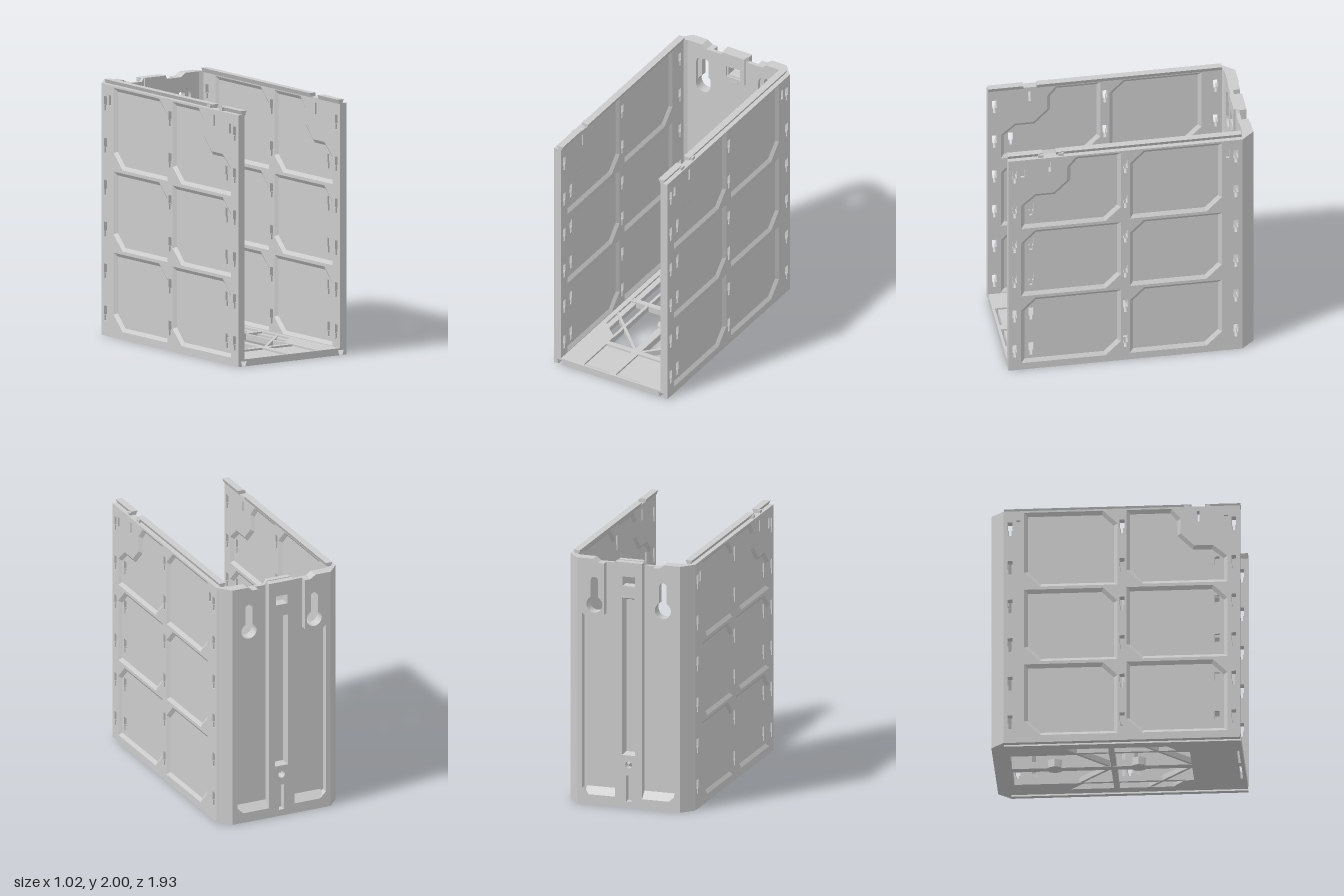
import * as THREE from 'three';

const mat = new THREE.MeshStandardMaterial({ color: 0xcccccc, flatShading: true });
const thin = new THREE.MeshStandardMaterial({ color: 0xcccccc, flatShading: true, side: THREE.DoubleSide });

const poly = pts => pts.map(p => new THREE.Vector2(p[0], p[1]));
const rect = (x0, y0, x1, y1) => [[x0, y0], [x1, y0], [x1, y1], [x0, y1]];
const circle = (x, y, r, n = 24) => Array.from({ length: n }, (_, i) =>
  [x + r * Math.cos(i / n * 2 * Math.PI), y + r * Math.sin(i / n * 2 * Math.PI)]);
const flip = pts => pts.map(([x, y]) => [-x, y]);

// Extrude an outline with holes between two levels along an axis.
// z: points are (x, y); x: points are (z, y); y: points are (x, z)
function slab(outline, holes, axis, lo, hi) {
  const shape = new THREE.Shape(poly(outline));
  holes.forEach(h => shape.holes.push(new THREE.Path(poly(h))));
  const geo = new THREE.ExtrudeGeometry(shape, { depth: hi - lo, bevelEnabled: false });
  if (axis === 'x') geo.rotateY(-Math.PI / 2).translate(hi, 0, 0);
  else if (axis === 'y') geo.rotateX(Math.PI / 2).translate(0, hi, 0);
  else geo.translate(0, 0, lo);
  return geo;
}

// Mirror a geometry in x and restore its winding
function mirrored(source) {
  const geo = source.index ? source.toNonIndexed() : source.clone();
  geo.scale(-1, 1, 1);
  const p = geo.attributes.position, a = new THREE.Vector3(), b = new THREE.Vector3();
  for (let i = 0; i < p.count; i += 3) {
    a.fromBufferAttribute(p, i + 1);
    b.fromBufferAttribute(p, i + 2);
    p.setXYZ(i + 1, b.x, b.y, b.z);
    p.setXYZ(i + 2, a.x, a.y, a.z);
  }
  geo.computeVertexNormals();
  return geo;
}

// Inset a counter-clockwise polygon by d
function inset(pts, d) {
  const n = pts.length;
  return pts.map((p, i) => {
    const q = pts[(i + n - 1) % n], r = pts[(i + 1) % n];
    const normal = (a, b) => {
      const l = Math.hypot(b[0] - a[0], b[1] - a[1]);
      return [-(b[1] - a[1]) / l, (b[0] - a[0]) / l];
    };
    const m = normal(q, p), k = normal(p, r);
    const s = d / (1 + m[0] * k[0] + m[1] * k[1]);
    return [p[0] + (m[0] + k[0]) * s, p[1] + (m[1] + k[1]) * s];
  });
}

// Sloped strip joining two (u, v) loops at levels a and b
function bevelRing(outer, inner, a, b, place) {
  const v = [];
  outer.forEach((p, i) => {
    const j = (i + 1) % outer.length;
    const A = place(p, a), B = place(outer[j], a), C = place(inner[j], b), D = place(inner[i], b);
    v.push(...A, ...B, ...C, ...A, ...C, ...D);
  });
  const geo = new THREE.BufferGeometry();
  geo.setAttribute('position', new THREE.Float32BufferAttribute(v, 3));
  geo.computeVertexNormals();
  return geo;
}

export function createModel() {
  const model = new THREE.Group();
  const add = (name, geo, material = mat) => {
    const mesh = new THREE.Mesh(geo, material);
    mesh.name = name;
    model.add(mesh);
  };
  const pair = (name, geo, material = mat) => {
    add(name + 'Left', geo, material);
    add(name + 'Right', mirrored(geo), material);
  };

  // Side walls: thin web between two frames with recessed panels
  const panels = [];
  const panel = (z0, z1, y0, y1) => panels.push([[z0 + 0.12, y0], [z1, y0], [z1, y1 - 0.11],
    [z1 - 0.11, y1], [z0, y1], [z0, y0 + 0.12]]);
  for (const [y0, y1] of [[0.06, 0.665], [0.69, 1.3], [1.325, 1.955]]) {
    panel(-0.705, 0.015, y0, y1);
    if (y0 < 1) panel(0.085, 0.865, y0, y1);
  }
  panels.push([[0.205, 1.325], [0.865, 1.325], [0.865, 1.545], [0.755, 1.64], [0.61, 1.64],
    [0.505, 1.745], [0.505, 1.87], [0.435, 1.955], [0.085, 1.955], [0.085, 1.445]]);

  const slot = (z, y) => [[z - 0.01, y - 0.115], [z + 0.01, y - 0.115], [z + 0.01, y - 0.07],
    [z + 0.019, y - 0.07], [z + 0.019, y], [z - 0.019, y], [z - 0.019, y - 0.07], [z - 0.01, y - 0.07]];
  const frameSlots = [rect(0.63, 1.84, 0.65, 1.93)], webSlots = [];
  for (let i = 0; i < 6; i++) {
    const y = 0.235 + i * 0.328;
    for (const z of [0.915, 0.05, -0.815]) frameSlots.push(slot(z, y));
    if (i < 5) webSlots.push(slot(0.785, y));
  }
  const blind = [rect(0.84, 1.81, 0.87, 1.89), rect(-0.765, 1.81, -0.735, 1.89)];
  const wall = rect(-0.865, 0.04, 0.965, 1.97);
  pair('sideOuterFrame', slab(wall, [...panels, ...frameSlots, ...blind], 'x', 0.49, 0.51));
  pair('sideWeb', slab(wall, [...frameSlots, ...webSlots], 'x', 0.47, 0.49));
  pair('sideInnerFrame', slab(wall, [...panels, ...frameSlots], 'x', 0.45, 0.47));
  const onSide = (p, x) => [x, p[1], p[0]];
  for (const p of panels) {
    const q = inset(p, 0.028);
    pair('panelBevelOuter', bevelRing(p, q, 0.51, 0.49, onSide), thin);
    pair('panelBevelInner', bevelRing(p, q, 0.45, 0.47, onSide), thin);
  }

  // Dovetail rails on top, interrupted by a clip, and matching grooves below
  const rail = [[0.445, 1.965], [0.47, 1.965], [0.485, 2], [0.43, 2]];
  pair('topRailFront', slab(rail, [], 'z', 0.69, 0.965));
  pair('topRail', slab(rail, [], 'z', 0.585, 0.585 + 0.001));
  pair('topRailRear', slab(rail, [], 'z', -0.865, 0.585));
  for (const z of [0.55, 0.71])
    pair('railClip', new THREE.BoxGeometry(0.035, 0.025, 0.04).translate(0.48, 1.98, z));
  pair('grooveSkirt', slab([[0.472, 0], [0.51, 0], [0.51, 0.04], [0.485, 0.04]], [], 'z', -0.865, 0.965));
  pair('grooveLip', slab([[0.41, 0], [0.443, 0], [0.43, 0.04], [0.41, 0.04]], [], 'z', -0.88, 0.965));

  // Floor with openings, crossed by bars
  const opening = xe => [[0.03, -0.83], [0.258, -0.83], [0.258, -0.31], [0.28, -0.31], [xe, -0.31 - (xe - 0.28)],
    [xe, 0.47 - (xe - 0.28) * 0.92], [0.28, 0.47], [0.258, 0.47], [0.258, 0.56], [0.03, 0.56]];
  const ventSlot = rect(0.03, 0.92, 0.255, 0.94), tray = rect(0.03, 0.605, 0.255, 0.945);
  const both = list => [...list, ...list.map(flip)];
  add('floorLower', slab(rect(-0.43, -0.88, 0.43, 0.965), both([opening(0.365), ventSlot]), 'y', 0, 0.04));
  add('floorUpper', slab(rect(-0.45, -0.88, 0.45, 0.965), both([opening(0.41), tray]), 'y', 0.04, 0.055));
  add('floorCrossBar', new THREE.BoxGeometry(0.84, 0.05, 0.045).translate(0, 0.027, -0.043));
  pair('floorLongBar', new THREE.BoxGeometry(0.024, 0.045, 0.82).translate(0.268, 0.027, 0.08));
  for (const z of [-0.275, 0.365])
    pair('floorDiagonal', new THREE.BoxGeometry(0.55, 0.045, 0.022).rotateY(Math.PI / 4).translate(0.22, 0.027, z));
  for (const z of [-0.5, 0.15]) {
    add('floorBoss', slab(circle(0, z, 0.064, 8), [circle(0, z, 0.03, 6)], 'y', 0, 0.065));
  }

  // Back wall: inner plate with screw keyholes and a window
  const keyhole = (w, top) => {
    const r = 0.065, cy = 1.605, a = Math.asin(Math.min(1, w / r)), pts = [];
    for (let i = 0; i <= 20; i++) {
      const t = Math.PI / 2 + a + i / 20 * (2 * Math.PI - 2 * a);
      pts.push([0.28 + r * Math.cos(t), cy + r * Math.sin(t)]);
    }
    for (let i = 0; i <= 10; i++) {
      const t = i / 10 * Math.PI;
      pts.push([0.28 + w * Math.cos(t), top - w + w * Math.sin(t)]);
    }
    return pts;
  };
  const topEdge = [[0.42, 1.97], [0.29, 1.97], [0.25, 1.94], [0.12, 1.94], [0.1, 1.97]];
  const window_ = rect(-0.05, 1.775, 0.05, 1.85);
  add('backInnerPlate', slab([[-0.42, 0], [0.42, 0], ...topEdge, ...flip(topEdge).reverse()],
    [...both([keyhole(0.064, 1.855)]), window_, circle(0, 0.345, 0.06)], 'z', -0.91, -0.88));
  add('screwCountersink', new THREE.CylinderGeometry(0.06, 0.028, 0.03, 24, 1, true)
    .rotateX(Math.PI / 2).translate(0, 0.345, -0.895), thin);

  // Outer columns: hang keyholes above a tall pocket
  const arc = new THREE.QuadraticBezierCurve(...poly([[0.2, 1.53], [0.285, 1.45], [0.38, 1.53]]))
    .getPoints(10).map(p => [p.x, p.y]);
  pair('backKeyholeColumn', slab([[0.1, 0], [0.42, 0], [0.42, 1.97], [0.29, 1.97], [0.25, 1.94], [0.2, 1.94],
    ...arc, [0.38, 0.13], [0.33, 0.08], [0.1, 0.08]], [keyhole(0.03, 1.825)], 'z', -0.965, -0.91));
  pair('pocketRamp', slab([[-0.965, 0.08], [-0.91, 0.08], [-0.91, 0.135]], [], 'x', 0.1, 0.36));

  // Centre column with a long bevelled recess
  const recess = rect(-0.055, 0.42, 0.055, 1.68);
  add('backCentreColumn', slab(rect(-0.11, 0, 0.11, 1.965),
    [recess, window_, circle(0, 0.345, 0.028), rect(-0.022, 0.05, 0.022, 0.26)], 'z', -0.965, -0.91));
  add('centreRecessBevel', bevelRing(recess, inset(recess, 0.02), -0.965, -0.915, (p, z) => [p[0], p[1], z]), thin);

  // Latch frame inside the back wall
  add('latchFrame', slab(rect(-0.1, 1.73, 0.1, 1.97), [rect(-0.065, 1.765, 0.065, 1.855)], 'z', -0.88, -0.865));
  add('latchTab', new THREE.BoxGeometry(0.07, 0.015, 0.02).translate(0, 1.725, -0.872));

  // Chamfered rear corners
  pair('rearCorner', slab([[0.42, -0.965], [0.51, -0.865], [0.45, -0.865], [0.42, -0.88]], [], 'y', 0, 1.97));

  return model;
}
